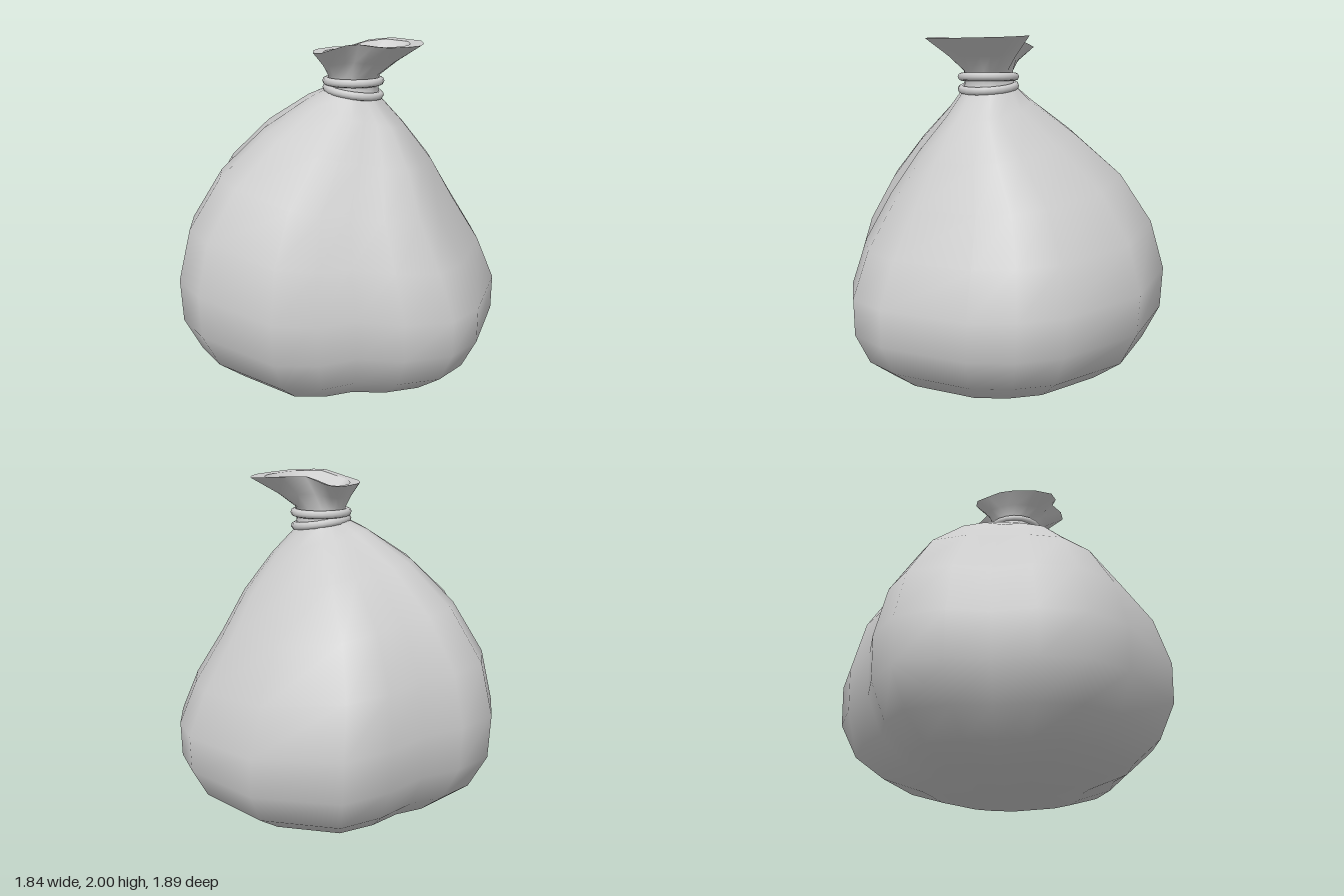
import * as THREE from 'three';

// Plan outlines [x, z], 20 matching points each, running from +x towards +z
const SACK = [[.92, -.27], [.92, .23], [.83, .46], [.61, .62], [.37, .70], [.21, .85], [0, .94],
  [-.48, .81], [-.68, .66], [-.78, .43], [-.81, .20], [-.90, 0], [-.92, -.27], [-.78, -.46],
  [-.60, -.58], [-.46, -.78], [-.25, -.95], [.24, -.95], [.68, -.70], [.83, -.50]];
const RIM = [[.49, -.10], [.50, .01], [.46, .13], [.39, .25], [.31, .26], [.22, .23], [.16, .27],
  [.03, .28], [-.05, .20], [-.10, .06], [-.11, -.02], [-.09, -.11], [-.07, -.19], [-.02, -.22],
  [.03, -.22], [.10, -.20], [.15, -.19], [.25, -.31], [.43, -.28], [.465, -.19]];
const HOLE = [[.42, -.07], [.42, .02], [.40, .10], [.35, .20], [.30, .20], [.24, .18], [.17, .20],
  [.03, .215], [-.01, .16], [-.04, .06], [-.05, -.01], [-.04, -.08], [-.02, -.14], [.02, -.17],
  [.06, -.16], [.10, -.15], [.14, -.15], [.23, -.235], [.37, -.215], [.40, -.14]];
const N = SACK.length;

// Tilted sack sections: left x, left y, right x, right y, half depth, fold strength
const SECTIONS = [
  [-.44, .06, .47, .04, .46, .8], [-.66, .15, .69, .11, .69, .9], [-.81, .28, .84, .23, .85, 1],
  [-.91, .48, .92, .40, .94, 1], [-.92, .73, .92, .60, .95, 1], [-.85, 1.02, .82, .84, .87, 1],
  [-.67, 1.30, .67, 1.09, .70, 1], [-.42, 1.53, .55, 1.33, .46, .9], [-.16, 1.69, .40, 1.54, .24, .7],
  [-.04, 1.74, .27, 1.68, .16, .4], [-.03, 1.77, .255, 1.73, .14, .2], [-.03, 1.81, .26, 1.81, .14, .2],
];

const lerp = THREE.MathUtils.lerp;

function section([xl, yl, xr, yr, depth, fold]) {
  return SACK.map(([x, z]) => {
    const a = Math.atan2(z, x);
    const u = lerp(Math.cos(a), x / .92, fold);
    const v = lerp(Math.sin(a), z / .95, fold);
    const t = (u + 1) / 2;
    return [lerp(xl, xr, t), lerp(yl, yr, t), v * depth];
  });
}

// Wavy height of the open mouth
function rimHeight(x) {
  if (x < 0) return 1.943;
  return x < .18 ? lerp(1.943, 2, x / .18) : lerp(2, 1.98, (x - .18) / .32);
}

const mixRings = (a, b, t, ty = t) => a.map((p, i) => [
  lerp(p[0], b[i][0], t), lerp(p[1], b[i][1], ty), lerp(p[2], b[i][2], t)]);

// Skin over a stack of rings; a one-point ring closes an end
function loft(name, rings, material) {
  const position = [], index = [], starts = [];
  for (const ring of rings) {
    starts.push(position.length / 3);
    ring.forEach((p) => position.push(...p));
  }
  for (let r = 0; r + 1 < rings.length; r++) {
    const at = (k, i) => starts[k] + (i % rings[k].length);
    for (let i = 0; i < N; i++) {
      const a = at(r, i), b = at(r, i + 1), c = at(r + 1, i), d = at(r + 1, i + 1);
      if (a !== b) index.push(a, c, b);
      if (c !== d) index.push(b, c, d);
    }
  }
  const geometry = new THREE.BufferGeometry();
  geometry.setAttribute('position', new THREE.Float32BufferAttribute(position, 3));
  geometry.setIndex(index);
  geometry.computeVertexNormals();
  const mesh = new THREE.Mesh(geometry, material);
  mesh.name = name;
  return mesh;
}

export function createModel() {
  const group = new THREE.Group();
  group.name = 'tiedSack';
  const material = new THREE.MeshStandardMaterial({ color: 0xcccccc, side: THREE.DoubleSide });

  // Sack, neck and flared collar in one skin
  const rings = SECTIONS.map(section);
  const neck = rings[rings.length - 1];
  const rim = RIM.map(([x, z]) => [x, rimHeight(x), z]);
  group.add(loft('sack', [[[-.02, 0, 0]], ...rings, mixRings(neck, rim, .4, .45), rim], material));

  // Flat lip around the mouth
  const hole = HOLE.map(([x, z]) => [x, rimHeight(x) - .005, z]);
  group.add(loft('lip', [rim, hole], material));

  // Funnel down into the tied neck
  const throat = HOLE.map(([x, z]) => [.13 + (x - .17) * .2, 1.78, -.03 + z * .2]);
  group.add(loft('mouthInside',
    [hole, mixRings(hole, throat, .45, .4), throat, [[.13, 1.74, -.03]]], material));

  // Two turns of cord, the lower one slanting
  for (const [name, y, tilt] of [['upperCord', 1.778, 0], ['lowerCord', 1.72, -.14]]) {
    const cord = new THREE.Mesh(new THREE.TorusGeometry(.152, .023, 8, 20).rotateX(Math.PI / 2), material);
    cord.name = name;
    cord.position.set(.115, y, 0);
    cord.rotation.z = tilt;
    group.add(cord);
  }
  return group;
}
